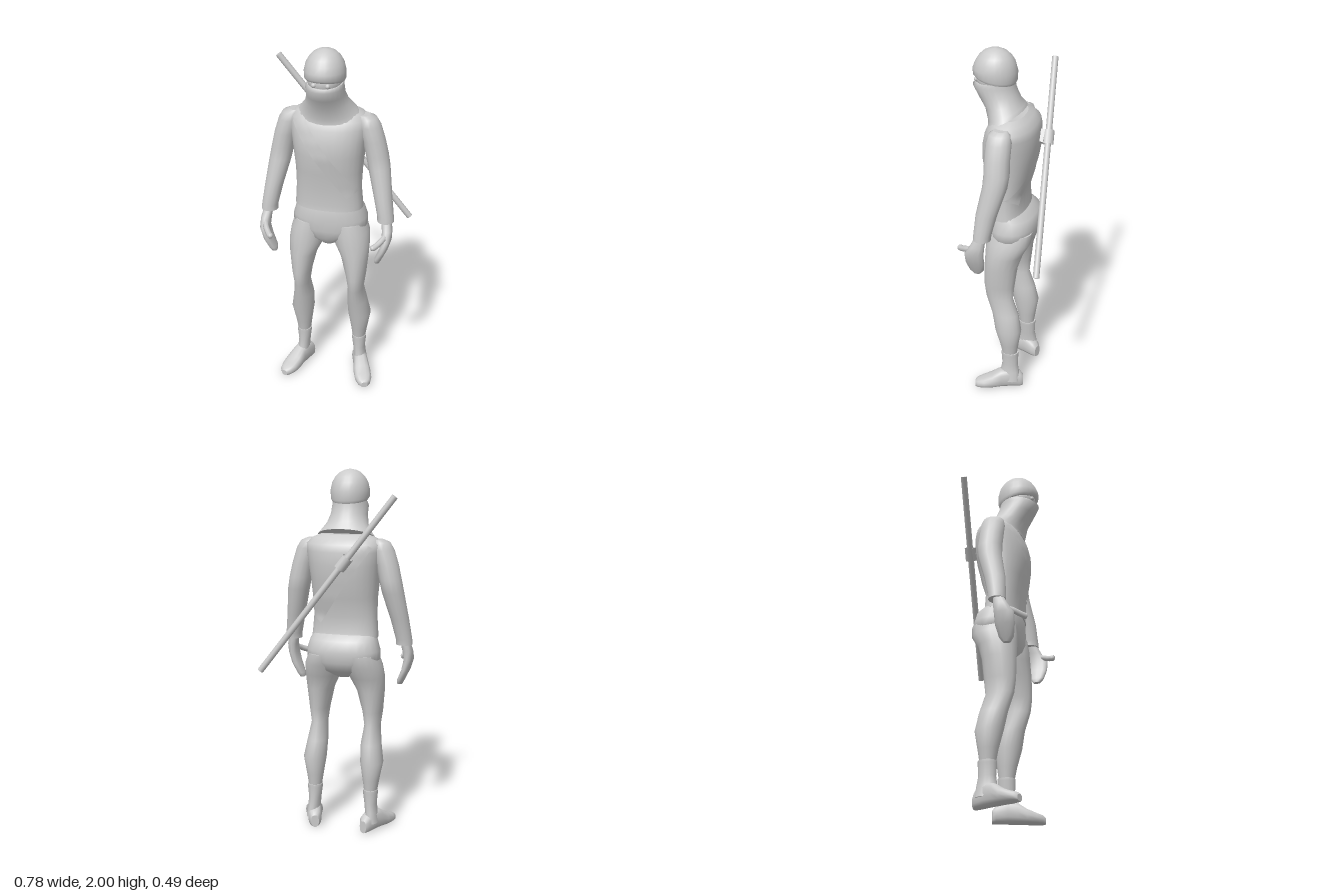
import * as THREE from 'three';

const grey = new THREE.MeshStandardMaterial({ color: 0xcccccc, side: THREE.DoubleSide });
const MID = -0.018; // body centre line

// Super-ellipse loft. Rings ascend: [y, centreX, backZ, frontZ, halfWidth, forward tilt]
function loft(rings, seg = 20, n = 2) {
  const pos = [], idx = [];
  const pw = (v) => Math.sign(v) * Math.abs(v) ** (2 / n);
  const addRing = ([y, cx, z0, z1, rx, tilt = 0]) => {
    for (let j = 0; j < seg; j++) {
      const a = (j / seg) * Math.PI * 2, s = pw(Math.sin(a));
      pos.push(cx + rx * pw(Math.cos(a)), y + tilt * s, (z0 + z1) / 2 + s * (z1 - z0) / 2);
    }
  };
  rings.forEach(addRing);
  for (let i = 0; i < rings.length - 1; i++)
    for (let j = 0; j < seg; j++) {
      const a = i * seg + j, b = i * seg + (j + 1) % seg;
      idx.push(a, a + seg, b, b, a + seg, b + seg);
    }
  // separate end caps keep the rims crisp
  [rings[0], rings[rings.length - 1]].forEach((r, k) => {
    const base = pos.length / 3;
    addRing(r);
    pos.push(r[1], r[0], (r[2] + r[3]) / 2);
    for (let j = 0; j < seg; j++) {
      const a = base + j, b = base + (j + 1) % seg;
      k ? idx.push(a, base + seg, b) : idx.push(a, b, base + seg);
    }
  });
  const g = new THREE.BufferGeometry();
  g.setAttribute('position', new THREE.Float32BufferAttribute(pos, 3));
  g.setIndex(idx);
  g.computeVertexNormals();
  return g;
}

const TORSO_N = 2.3;
const TORSO = [
  [1.10, 0, -0.07, 0.14, 0.186], [1.13, 0, -0.06, 0.138, 0.184], [1.22, 0, -0.055, 0.143, 0.177],
  [1.32, 0, -0.085, 0.16, 0.18], [1.42, 0, -0.105, 0.178, 0.19], [1.50, 0, -0.117, 0.176, 0.2],
  [1.57, 0, -0.115, 0.16, 0.21], [1.61, 0, -0.105, 0.14, 0.21], [1.64, 0, -0.075, 0.12, 0.18],
  [1.66, 0, -0.045, 0.10, 0.13],
];

// Depth of the shirt surface at x, y on the front (+1) or back (-1)
function torsoZ(x, y, side) {
  let i = 0;
  while (i < TORSO.length - 2 && TORSO[i + 1][0] < y) i++;
  const a = TORSO[i], b = TORSO[i + 1];
  const t = THREE.MathUtils.clamp((y - a[0]) / (b[0] - a[0]), 0, 1);
  const [z0, z1, rx] = [2, 3, 4].map((k) => THREE.MathUtils.lerp(a[k], b[k], t));
  const h = Math.max(0, 1 - Math.min(1, Math.abs(x) / rx) ** TORSO_N) ** (1 / TORSO_N);
  return (z0 + z1) / 2 + side * (h * (z1 - z0) / 2 + 0.003);
}

// Diagonal strap lying on the shirt
function strapGeometry(side) {
  const pos = [], idx = [], N = 28, W = 4;
  for (let i = 0; i <= N; i++)
    for (let j = 0; j <= W; j++) {
      const t = i / N, w = (j / W - 0.5) * 0.075;
      const x = THREE.MathUtils.lerp(-0.15, 0.145, t) + w * 0.8;
      const y = THREE.MathUtils.lerp(1.615, 1.2, t) + w * 0.57;
      pos.push(x, y, torsoZ(x, y, side));
      if (i < N && j < W) {
        const a = i * (W + 1) + j, b = a + W + 1;
        side > 0 ? idx.push(a, b, a + 1, a + 1, b, b + 1) : idx.push(a, a + 1, b, a + 1, b + 1, b);
      }
    }
  const g = new THREE.BufferGeometry();
  g.setAttribute('position', new THREE.Float32BufferAttribute(pos, 3));
  g.setIndex(idx);
  g.computeVertexNormals();
  return g;
}

export function createModel() {
  const model = new THREE.Group();
  const body = new THREE.Group();
  body.name = 'figure';
  body.position.x = MID;
  model.add(body);
  const add = (name, geo, parent = body) => {
    const m = new THREE.Mesh(geo, grey);
    m.name = name;
    parent.add(m);
    return m;
  };

  // Shirt and chest strap
  add('shirt', loft(TORSO, 28, TORSO_N));
  add('strapFront', strapGeometry(1));
  add('strapBack', strapGeometry(-1));

  // Trouser seat
  add('pelvis', loft([
    [0.875, 0, -0.02, 0.09, 0.04], [0.92, 0, -0.09, 0.125, 0.14], [0.97, 0, -0.118, 0.137, 0.205],
    [1.03, 0, -0.124, 0.14, 0.205], [1.09, 0, -0.11, 0.138, 0.187], [1.13, 0, -0.05, 0.125, 0.17],
  ], 24, 2.3));

  // Hood: flared neck cloth and mask, face, skull cap
  add('mask', loft([
    [1.645, 0, -0.042, 0.15, 0.16, -0.045], [1.665, 0, -0.034, 0.15, 0.145, -0.04],
    [1.71, 0, -0.015, 0.17, 0.115, -0.02], [1.76, 0, 0.0, 0.21, 0.1, -0.01],
    [1.805, 0, 0.012, 0.24, 0.099, 0], [1.83, 0, 0.016, 0.222, 0.094, -0.01],
  ], 24));
  const face = add('face', new THREE.SphereGeometry(1, 20, 14));
  face.scale.set(0.09, 0.08, 0.1);
  face.position.set(0, 1.84, 0.122);
  add('cap', loft([
    [1.835, 0, 0.012, 0.222, 0.097, 0.016], [1.85, 0, 0.004, 0.238, 0.105, 0.016],
    [1.89, 0, 0.002, 0.238, 0.106, 0.006], [1.93, 0, 0.014, 0.225, 0.097],
    [1.96, 0, 0.033, 0.206, 0.08], [1.982, 0, 0.057, 0.182, 0.058],
    [1.995, 0, 0.085, 0.155, 0.032], [2.0, 0, 0.112, 0.128, 0.008],
  ], 24));

  for (const s of [1, -1]) {
    const side = new THREE.Group();
    side.name = s > 0 ? 'leftSide' : 'rightSide';
    body.add(side);
    const limb = (name, rings, seg, n) =>
      add(name, loft(rings.map(([y, cx, ...r]) => [y, cx * s, ...r]), seg, n), side);

    const eye = add('eye', new THREE.SphereGeometry(0.013, 10, 8), side);
    eye.position.set(s * 0.036, 1.835, 0.212);

    // Sleeve with a wider cuff
    limb('sleeve', [
      [1.06, 0.322, 0.045, 0.14, 0.046], [1.09, 0.32, 0.042, 0.138, 0.045],
      [1.2, 0.3, 0.016, 0.13, 0.05], [1.35, 0.27, -0.03, 0.102, 0.06],
      [1.42, 0.256, -0.038, 0.098, 0.061], [1.5, 0.238, -0.035, 0.1, 0.061],
      [1.58, 0.212, -0.035, 0.1, 0.062], [1.62, 0.2, -0.025, 0.09, 0.05], [1.635, 0.185, -0.005, 0.07, 0.03],
    ], 14);

    // Hand: mitten of curled fingers plus thumb
    limb('hand', [
      [0.825, 0.288, 0.115, 0.155, 0.014], [0.85, 0.295, 0.095, 0.175, 0.02],
      [0.91, 0.322, 0.082, 0.188, 0.022], [0.97, 0.338, 0.08, 0.188, 0.025],
      [1.02, 0.336, 0.075, 0.155, 0.028], [1.08, 0.324, 0.07, 0.125, 0.026],
    ], 12, 2.4);
    const thumb = new THREE.CatmullRomCurve3([
      [0.335, 1.0, 0.14], [0.32, 0.985, 0.18], [0.3, 0.97, 0.21], [0.282, 0.962, 0.235],
    ].map(([x, y, z]) => new THREE.Vector3(x * s, y, z)));
    add('thumb', new THREE.TubeGeometry(thumb, 6, 0.016, 8), side);
    const tip = add('thumbTip', new THREE.SphereGeometry(0.016, 8, 6), side);
    tip.position.copy(thumb.getPoint(1)).add(new THREE.Vector3(0, 0, -0.006));

    // Trouser leg
    limb('leg', [
      [0.23, 0.164, -0.048, 0.036, 0.036], [0.3, 0.165, -0.058, 0.05, 0.047],
      [0.4, 0.167, -0.074, 0.078, 0.064], [0.5, 0.157, -0.055, 0.098, 0.056],
      [0.6, 0.155, -0.022, 0.132, 0.043], [0.68, 0.155, -0.03, 0.142, 0.055],
      [0.8, 0.146, -0.045, 0.142, 0.076], [0.88, 0.128, -0.07, 0.14, 0.098],
      [0.95, 0.117, -0.11, 0.138, 0.1], [1.01, 0.105, -0.115, 0.13, 0.09],
    ], 18);

    // Boot: shaft, then a foot lofted heel to toe and turned out
    limb('bootShaft', [
      [0.05, 0.175, -0.07, 0.06, 0.038], [0.11, 0.17, -0.062, 0.046, 0.034],
      [0.16, 0.165, -0.054, 0.038, 0.034], [0.225, 0.164, -0.057, 0.042, 0.042], [0.24, 0.164, -0.057, 0.042, 0.042],
    ], 14);
    const foot = loft([ // heights are negative here until the loft is laid forward
      [-0.08, 0, -0.07, 0, 0.022], [-0.06, 0, -0.095, 0, 0.037], [0, 0, -0.125, 0, 0.041],
      [0.05, 0, -0.115, 0, 0.043], [0.1, 0, -0.082, 0, 0.05], [0.15, 0, -0.06, 0, 0.048],
      [0.185, 0, -0.048, 0, 0.036], [0.2, 0, -0.035, 0, 0.018],
    ], 14, 2.6).rotateX(Math.PI / 2).rotateY(s * 0.36).translate(s * 0.17, 0, -0.005);
    add('foot', foot, side);
  }

  // Staff slung across the back
  const top = new THREE.Vector3(-0.33, 1.87, -0.108), end = new THREE.Vector3(0.38, 0.93, -0.23);
  const axis = end.clone().sub(top);
  const turn = new THREE.Quaternion().setFromUnitVectors(new THREE.Vector3(0, 1, 0), axis.clone().normalize());
  const staff = add('staff', new THREE.CylinderGeometry(0.017, 0.017, axis.length(), 14), model);
  staff.position.copy(top).lerp(end, 0.5);
  staff.quaternion.copy(turn);

  // Loop and mount that hold the staff
  const at = top.clone().lerp(end, 0.37);
  const loop = add('staffLoop', new THREE.CylinderGeometry(0.03, 0.03, 0.075, 10, 1, true), model);
  loop.position.copy(at);
  loop.quaternion.copy(turn);
  const mount = add('loopMount', new THREE.BoxGeometry(0.05, 0.07, 0.04), model);
  mount.position.copy(at).add(new THREE.Vector3(0, 0, 0.038));
  mount.rotation.z = 0.65;

  return model;
}
